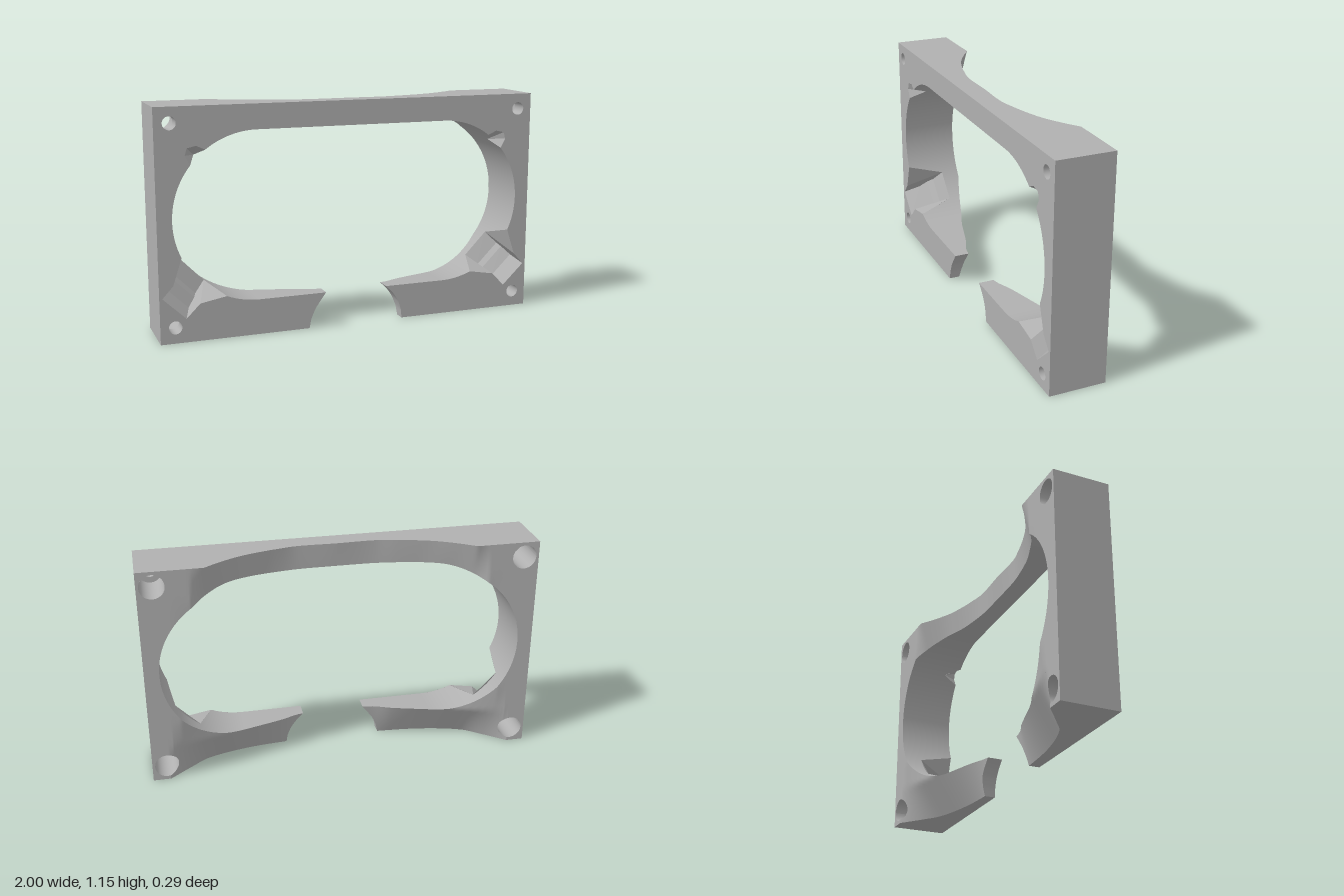
import * as THREE from 'three';

const H = 1.155, F = 0.146, CX = 0.5, CY = 0.605, R = 0.425;   // height, half depth, opening arc
const HX = 0.925, HOLE_Y = [0.08, 1.077], BORE = 0.033, SINK = 0.062, SINK_Z = 0.06;
const rad = Math.PI / 180;
const lerp = THREE.MathUtils.lerp;
const range = (n, f) => Array.from({ length: n + 1 }, (_, i) => f(i / n));

// piecewise linear lookup in [[key, value], ...]
function linear(t, k) {
  if (k <= t[0][0]) return t[0][1];
  for (let i = 1; i < t.length; i++) {
    if (k <= t[i][0]) return lerp(t[i - 1][1], t[i][1], (k - t[i - 1][0]) / (t[i][0] - t[i - 1][0]));
  }
  return t[t.length - 1][1];
}
// smooth lookup through the same kind of table
function smooth(t, k) {
  const n = t.length - 1;
  if (k >= t[n][0]) return t[n][1];
  const slope = (i) => {
    const a = t[Math.max(0, i - 1)], b = t[Math.min(n, i + 1)];
    return (b[1] - a[1]) / (b[0] - a[0]);
  };
  let i = 0;
  while (i < n - 1 && k > t[i + 1][0]) i++;
  const h = t[i + 1][0] - t[i][0], u = (k - t[i][0]) / h, u2 = u * u, u3 = u2 * u;
  return (2 * u3 - 3 * u2 + 1) * t[i][1] + (u3 - 2 * u2 + u) * h * slope(i)
    + (3 * u2 - 2 * u3) * t[i + 1][1] + (u3 - u2) * h * slope(i + 1);
}

// hollowed back: depth profiles over |x| at several heights
const scoops = [
  [0, [[0, 0.1], [0.29, 0.088], [0.5, 0.065], [0.7, 0.01], [0.8, -0.06], [0.91, -F]]],
  [0.19, [[0, 0.08], [0.2, 0.06], [0.3, 0.02], [0.5, -0.04], [0.7, -0.1], [0.885, -F]]],
  [0.33, [[0, 0.05], [0.5, -0.05], [0.835, -F]]],
  [0.985, [[0, 0.05], [0.2, 0.045], [0.4, 0.02], [0.5, -0.01], [0.6, -0.05], [0.745, -F]]],
  [H, [[0, 0.035], [0.2, 0.038], [0.3, 0.02], [0.4, -0.005], [0.5, -0.04], [0.6, -0.095], [0.675, -F]]],
];
const backZ = (x, y) => Math.max(-F, linear(scoops.map(([h, t]) => [h, smooth(t, Math.abs(x))]), y));

// opening and arm ends
const arc = (x) => Math.sqrt(Math.max(0, R * R - Math.max(0, x - CX) ** 2));
const openTop = (x) => CY + arc(x);
const openBottom = (x) => CY - arc(x);
const onArc = (deg) => [CX + R * Math.cos(deg * rad), CY + R * Math.sin(deg * rad)];
const armEnds = {
  1: [[0, 0.27], [0.05, 0.265], [0.1, 0.248], [0.14, 0.22], [0.18, 0.18]],
  '-1': [[0, 0.24], [0.05, 0.23], [0.1, 0.208], [0.14, 0.18], [0.18, 0.15]],
};
// front edge of the opening wall by angle, dipping at the notches
const rim = [[-67, F], [-56, -0.05], [-33, -0.05], [-25, F], [39, F], [46, 0.06], [53, F]];

// notch outlines on the front face, along the opening from bottom to top
const A = onArc(-25), B = [0.93, 0.29], C = [0.985, 0.23], D = [0.87, 0.12], E = [0.8, 0.19], G = onArc(-67);
const P = onArc(-33), Q = onArc(-56);
const upperNotch = [onArc(39), [0.855, 0.92], [0.845, 0.955], [0.8, 0.965], onArc(53)];

export function createModel() {
  const model = new THREE.Group();
  const grey = new THREE.MeshStandardMaterial({ color: 0xb0b0b0, side: THREE.DoubleSide });
  grey.name = 'plain grey';
  const add = (name, geometry) => {
    const mesh = new THREE.Mesh(geometry, grey);
    mesh.name = name;
    model.add(mesh);
    return mesh;
  };
  // surface over a grid of points f(u, v)
  const grid = (name, n, m, f) => {
    const pos = [], index = [];
    for (let i = 0; i <= n; i++) {
      for (let j = 0; j <= m; j++) {
        pos.push(...f(i / n, j / m));
        if (i < n && j < m) {
          const a = i * (m + 1) + j, b = a + m + 1;
          index.push(a, b, a + 1, b, b + 1, a + 1);
        }
      }
    }
    const g = new THREE.BufferGeometry();
    g.setAttribute('position', new THREE.Float32BufferAttribute(pos, 3));
    g.setIndex(index);
    g.computeVertexNormals();
    return add(name, g);
  };
  // wall along [x, y, front z] points, reaching the hollowed back
  const wall = (name, s, pts) => grid(name, pts.length - 1, 1, (u, v) => {
    const [x, y, z = F] = pts[Math.round(u * (pts.length - 1))];
    return [s * x, y, v ? z : Math.min(z, backZ(x, y))];
  });
  // sharp-edged triangles from a list of points
  const facets = (name, s, pts) => {
    const g = new THREE.BufferGeometry();
    g.setAttribute('position', new THREE.Float32BufferAttribute(pts.flatMap(([x, y, z = F]) => [s * x, y, z]), 3));
    g.computeVertexNormals();
    add(name, g);
  };

  // front face outline with both notches on each side
  const half = (s) => [
    ...range(8, (t) => [linear(armEnds[s], t * 0.18), t * 0.18]),
    ...range(8, (t) => onArc(lerp(-90, -67, t))), E, D, C, B,
    ...range(24, (t) => onArc(lerp(-25, 39, t))), ...upperNotch.slice(1, 4),
    ...range(12, (t) => onArc(lerp(53, 90, t))),
  ].map(([x, y]) => new THREE.Vector2(s * x, y));
  const shape = new THREE.Shape([
    ...half(1), ...half(-1).reverse(),
    ...[[-1, 0], [-1, H], [1, H], [1, 0]].map((p) => new THREE.Vector2(...p)),
  ]);
  for (const s of [1, -1]) {
    for (const y of HOLE_Y) shape.holes.push(new THREE.Path().absarc(s * HX, y, BORE, 0, Math.PI * 2));
  }
  add('frontFace', new THREE.ShapeGeometry(shape, 16)).position.z = F;

  for (const s of [1, -1]) {
    // back face, in columns that run around the screw holes
    const column = (xa, xb, n, lo, hi) => grid('backFace', n, 10, (u, v) => {
      const x = lerp(xa, xb, u), y = lerp(lo(x), hi(x), v);
      return [s * x, y, backZ(x, y)];
    });
    const sink = (x) => Math.sqrt(Math.max(0, SINK * SINK - (x - HX) ** 2));
    const [lowY, highY] = HOLE_Y;
    const floor = () => 0, top = () => H;
    const lowA = (x) => lowY - sink(x), lowB = (x) => lowY + sink(x);
    const highA = (x) => highY - sink(x), highB = (x) => highY + sink(x);
    const x0 = HX - SINK, x1 = HX + SINK;
    column(0, x0, 80, openTop, top);
    grid('armBack', 80, 12, (u, v) => {
      const x = lerp(linear(armEnds[s], v * 0.18), x0, u), y = v * openBottom(x);
      return [s * x, y, backZ(x, y)];
    });
    column(x0, HX, 24, floor, lowA);
    column(x0, HX, 24, lowB, openBottom);
    column(x0, HX, 24, openTop, highA);
    column(x0, HX, 24, highB, top);
    column(HX, x1, 24, floor, lowA);
    column(HX, x1, 24, lowB, highA);
    column(HX, x1, 24, highB, top);
    column(x1, 1, 1, floor, top);

    // outer walls
    wall('topWall', s, range(80, (t) => [t, H]));
    wall('bottomWall', s, range(60, (t) => [lerp(armEnds[s][0][1], 1, t), 0]));
    wall('sideWall', s, [[1, 0], [1, H]]);
    wall('armEnd', s, range(12, (t) => [linear(armEnds[s], t * 0.18), t * 0.18]));

    // inside of the opening
    wall('openingWall', s, [
      ...range(20, (t) => [lerp(linear(armEnds[s], 0.18), CX, t), CY - R]),
      ...range(180, (t) => [...onArc(t * 180 - 90), linear(rim, t * 180 - 90)]),
      ...range(30, (t) => [CX * (1 - t), CY + R]),
    ]);

    // stepped ramp of the lower notch, then its flared cheeks
    const steps = [[0, F], [0.22, 0.06], [0.5, 0.02], [0.6, -0.01], [1, -0.05]];
    const edge = (a, b) => steps.map(([t, z]) => [lerp(a[0], b[0], t), lerp(a[1], b[1], t), z]);
    const upper = edge(C, P), lower = edge(D, Q);
    const ramp = [], cheeks = [];
    for (let i = 0; i < 4; i++) {
      ramp.push(upper[i], lower[i], upper[i + 1], lower[i], lower[i + 1], upper[i + 1]);
      cheeks.push(upper[i], upper[i + 1], B, lower[i + 1], lower[i], E);
    }
    cheeks.push(upper[4], A, B, G, lower[4], E);
    facets('notchRamp', s, ramp);
    facets('notchCheeks', s, cheeks);

    // shallow upper notch
    const deep = [...onArc(46), 0.06];
    facets('upperNotch', s, upperNotch.slice(1).flatMap((p, i) => [deep, p, upperNotch[i]]));

    // screw holes, wider at the back
    for (const y of HOLE_Y) {
      wall('holeSink', s, range(48, (t) => [
        HX + SINK * Math.cos(t * Math.PI * 2), y + SINK * Math.sin(t * Math.PI * 2), SINK_Z]));
      const seat = add('holeSeat', new THREE.RingGeometry(BORE, SINK, 32));
      seat.rotation.y = Math.PI;
      seat.position.set(s * HX, y, SINK_Z);
      const bore = add('holeBore', new THREE.CylinderGeometry(BORE, BORE, F - SINK_Z, 32, 1, true));
      bore.rotation.x = Math.PI / 2;
      bore.position.set(s * HX, y, (F + SINK_Z) / 2);
    }
  }
  return model;
}
